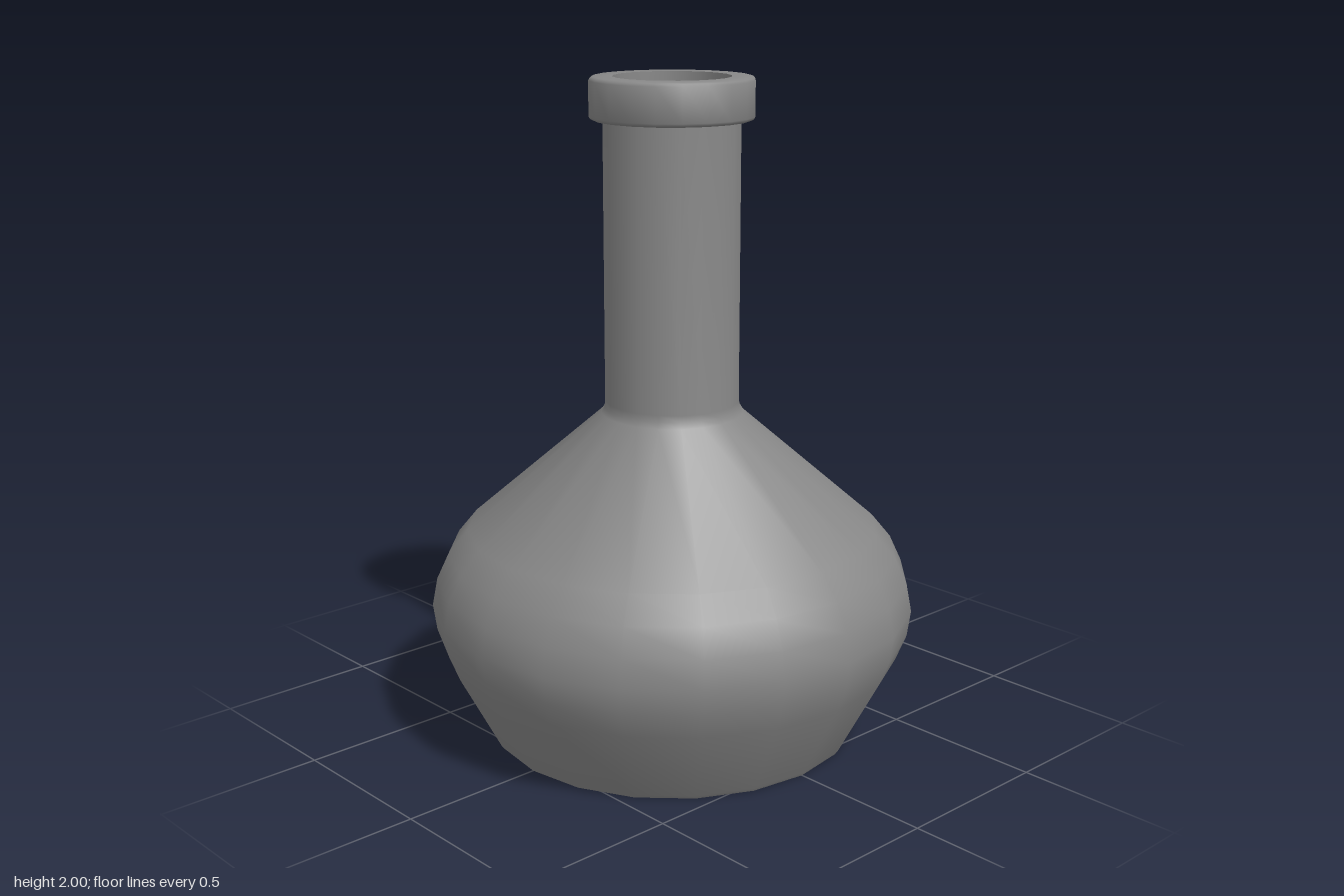
import * as THREE from 'three';
import { toCreasedNormals } from 'three/addons/utils/BufferGeometryUtils.js';

const SIDES = 20;
const material = new THREE.MeshStandardMaterial({ color: 0x888888 });

// Turns a profile of [radius, height] points, listed bottom to top for an outside face
function turned(name, profile) {
  const points = profile.map(([r, y]) => new THREE.Vector2(r, y));
  const geometry = toCreasedNormals(new THREE.LatheGeometry(points, SIDES), 0.62);
  const mesh = new THREE.Mesh(geometry, material);
  mesh.name = name;
  return mesh;
}

export function createModel() {
  const flask = new THREE.Group();
  flask.name = 'flask';

  // Flat base, bulging body, sloping shoulder and straight neck
  flask.add(turned('body', [
    [0, 0], [0.562, 0], [0.571, 0.012],
    [0.695, 0.25], [0.727, 0.33], [0.738, 0.41], [0.722, 0.495],
    [0.685, 0.575], [0.625, 0.648],
    [0.215, 1.003], [0.205, 1.02], [0.203, 1.04], [0.203, 1.88],
  ]));

  // Collar around the mouth, with softly rounded outer edges
  flask.add(turned('lip', [
    [0.203, 1.876], [0.232, 1.876], [0.239, 1.88], [0.243, 1.887],
    [0.243, 1.989], [0.239, 1.996], [0.232, 2], [0.174, 2],
  ]));

  // Hollow inside, listed top to bottom so that it faces inward
  flask.add(turned('interior', [
    [0.174, 2], [0.174, 1.03], [0.19, 0.985],
    [0.605, 0.628], [0.66, 0.56], [0.694, 0.487], [0.708, 0.41],
    [0.698, 0.337], [0.668, 0.26], [0.548, 0.03], [0, 0.03],
  ]));

  return flask;
}
